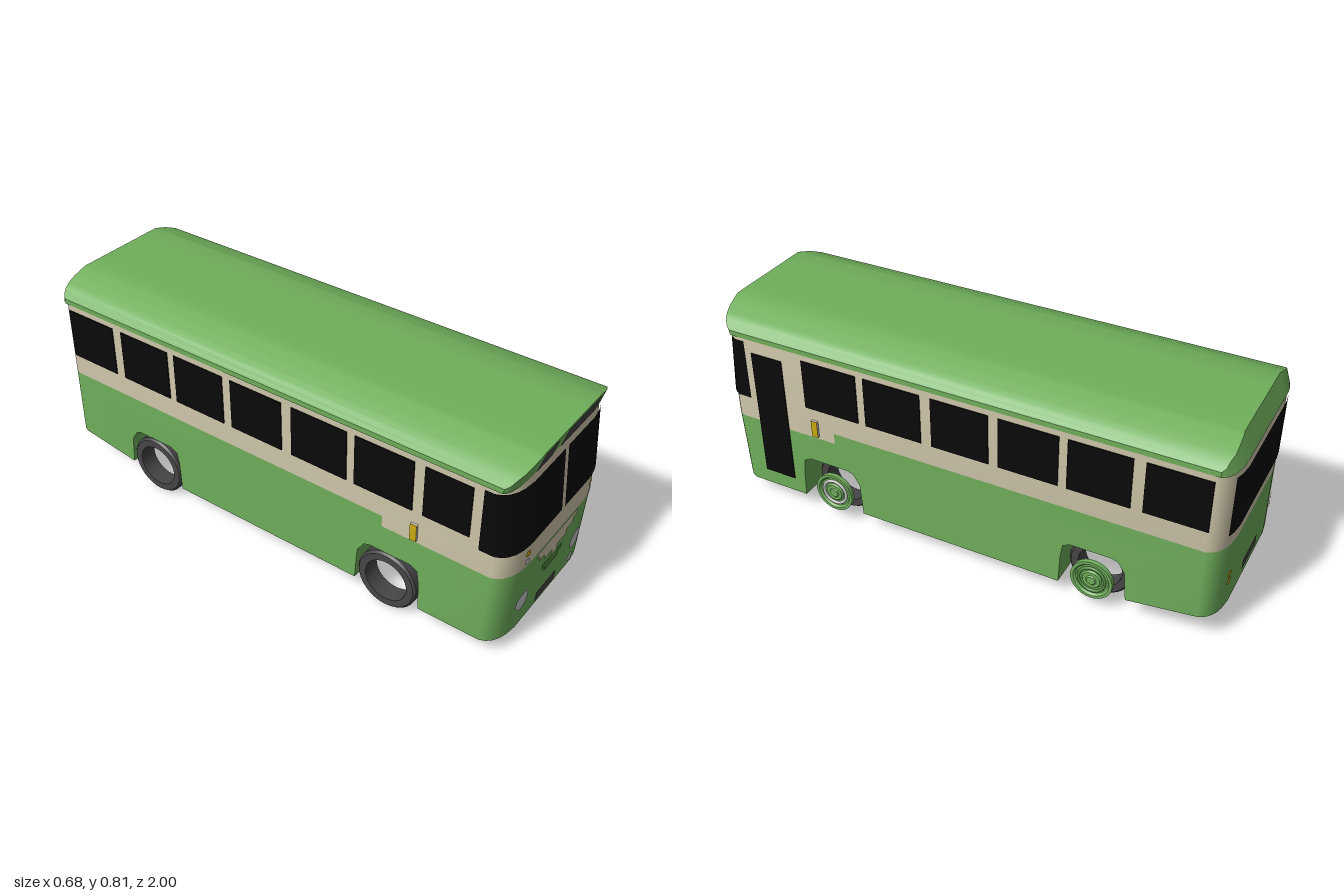
import * as THREE from 'three';
import { toCreasedNormals } from 'three/addons/utils/BufferGeometryUtils.js';

const paint = (name, color) => Object.assign(new THREE.MeshStandardMaterial({ color }), { name });
const green = paint('bodyGreen', 0x6fae5b);
const darkGreen = paint('darkGreen', 0x50873f);
const cream = paint('cream', 0xcfc6aa);
const black = paint('glassBlack', 0x090909);
const grey = paint('rubberGrey', 0x474547);
const silver = paint('silver', 0xc8c8c8);
const yellow = paint('lampYellow', 0xc8aa10);

const HALF = [0, 0.1, 0.19, 0.205, 0.25, 0.28, 0.305, 0.32, 0.33];
const XS = [...HALF.slice(1).map((x) => -x).reverse(), ...HALF];

// linear interpolation in a list of [x, value], mirrored in x
function lerpTable(table, x) {
  const a = Math.abs(x);
  for (let i = 1; i < table.length; i++) {
    const [x0, v0] = table[i - 1], [x1, v1] = table[i];
    if (a <= x1) return v0 + (v1 - v0) * Math.max(0, (a - x0) / (x1 - x0));
  }
  return table[table.length - 1][1];
}
// rounding of the body ends, roof height and eave height across the width
const setback = (x) => lerpTable([[0.205, 0], [0.25, 0.006], [0.28, 0.015], [0.305, 0.03], [0.32, 0.046], [0.33, 0.068]], x);
const roofTop = (x) => lerpTable([[0.19, 0.81], [0.25, 0.79], [0.305, 0.765], [0.33, 0.735]], x);
const eave = (x) => lerpTable([[0.19, 0.73], [0.305, 0.716], [0.33, 0.715]], x);

const frontZ = (x, y) => lerpTable([[0.067, 0.98], [0.36, 0.995], [0.457, 0.995], [0.735, 0.973]], y) - setback(x);
const backZ = (x) => -0.995 + setback(x);
const visorZ = (x, y) => 0.995 - (0.81 - y) * 0.28 - setback(x) * 0.5;

function mapPoints(geo, rule) {
  const p = geo.attributes.position;
  for (let i = 0; i < p.count; i++) p.setXYZ(i, ...rule(p.getX(i), p.getY(i), p.getZ(i)));
  geo.computeVertexNormals();
  return geo;
}

export function createModel() {
  const bus = new THREE.Group();
  bus.name = 'bus';
  const add = (name, geo, mat, parent = bus) => {
    const m = new THREE.Mesh(geo, mat);
    m.name = name;
    parent.add(m);
    return m;
  };
  const toShape = (pts) => new THREE.Shape(pts.map(([a, b]) => new THREE.Vector2(a, b)));

  // side profile of [z, y] points swept across the width, then bent by a rule
  function slab(name, profile, mat, rule) {
    const n = XS.length - 1;
    const geo = new THREE.ExtrudeGeometry(toShape(profile.map(([z, y]) => [-z, y])), { depth: n, steps: n, bevelEnabled: false });
    geo.rotateY(Math.PI / 2);
    mapPoints(geo, (i, y, z) => rule(XS[Math.round(i)], y, z));
    add(name, toCreasedNormals(geo, 0.5), mat);
  }
  const roundEnds = (x, y, z) => [x, y, Math.abs(z) > 0.9 ? z - Math.sign(z) * setback(x) : z];

  // lower body with wheel tunnels
  const arch = (z0, z1) => [[z0 + 0.008, 0.2], [z0 + 0.035, 0.242], [z0 + 0.06, 0.25], [z1 - 0.04, 0.25], [z1 - 0.012, 0.235], [z1 - 0.004, 0.18]];
  slab('lowerBody', [
    [0.98, 0.067], [0.995, 0.36], [0.51, 0.36], [0.51, 0.405], [-0.995, 0.405], [-0.995, 0.12],
    [-0.67, 0.085], ...arch(-0.67, -0.415), [-0.415, 0.067],
    [0.405, 0.067], ...arch(0.405, 0.67), [0.67, 0.067],
  ], green, roundEnds);

  // upper body
  slab('upperBody', [
    [0.995, 0.36], [0.995, 0.457], [0.973, 0.735], [-0.995, 0.735], [-0.995, 0.405], [0.51, 0.405], [0.51, 0.36],
  ], cream, roundEnds);

  // roof with forward-leaning visor
  slab('roof', [[1, 0], [1, 1], [-1, 1], [-1, 0]], green, (x, t, z) => {
    const y = t > 0.5 ? roofTop(x) : eave(x);
    const back = -1 + Math.max(0, y - 0.735) * 0.45 + setback(x) * 0.8;
    return [x * 1.009, y, z > 0 ? visorZ(x, y) + 0.001 : back];
  });

  // thin plates that follow the ends
  const onFront = (name, geo, mat, surf = frontZ) =>
    add(name, mapPoints(geo, (x, y) => [x, y, surf(x, y) + 0.004]), mat);
  const onBack = (name, geo, mat) =>
    add(name, mapPoints(geo.rotateY(Math.PI), (x, y) => [x, y, backZ(x) - 0.004]), mat);
  const rect = (x0, x1, y0, y1) => new THREE.PlaneGeometry(x1 - x0, y1 - y0).translate((x0 + x1) / 2, (y0 + y1) / 2, 0);
  const disc = (x, y, r) => new THREE.CircleGeometry(r, 24).translate(x, y, 0);

  // curved glass along a plan list of x values, with an optional run down the side
  function glass(name, xs, y0, y1, surf, out, sideEnd) {
    const list = sideEnd ? [...xs, null] : xs;
    const geo = new THREE.PlaneGeometry(list.length - 1, 1, list.length - 1, 1).translate((list.length - 1) / 2, 0.5, 0);
    mapPoints(geo, (i, v) => {
      const x = list[Math.round(i)], y = y0 + v * (y1 - y0);
      return x === null ? [0.334, y, sideEnd] : [x * 1.012, y, surf(x, y) + out];
    });
    return add(name, geo, black);
  }
  glass('windshieldLeft', [0.022, ...HALF.slice(1)], 0.457, 0.704, frontZ, 0.005, 0.877);
  const right = glass('windshieldRight', HALF, 0.457, 0.704, frontZ, 0.005, 0.877);
  // mirror the vertices and reverse the winding
  mapPoints(right.geometry.setIndex([...right.geometry.index.array].reverse()), (x, y, z) => [-x, y, z]);
  glass('rearWindow', XS.filter((x) => Math.abs(x) < 0.29).reverse(), 0.458, 0.695, backZ, -0.005);

  // stepped cream chevron and grille
  onFront('chevron', new THREE.ShapeGeometry(toShape([
    [-0.142, 0.362], [-0.142, 0.336], [-0.121, 0.336], [-0.121, 0.313], [-0.08, 0.313], [-0.08, 0.289],
    [-0.018, 0.289], [-0.018, 0.265], [0.022, 0.265], [0.022, 0.289], [0.082, 0.289], [0.082, 0.313],
    [0.125, 0.313], [0.125, 0.336], [0.147, 0.336], [0.147, 0.362],
  ])), cream);
  onFront('grilleTop', rect(-0.08, 0.063, 0.242, 0.265), darkGreen);
  onFront('grilleBottom', rect(-0.059, 0.044, 0.218, 0.242), darkGreen);
  onFront('frontPlate', rect(-0.08, 0.063, 0.088, 0.131), grey);

  // destination boards on the visor
  for (const pts of [
    [[-0.205, 0.734], [-0.1, 0.734], [-0.1, 0.808], [-0.188, 0.808]],
    [[-0.04, 0.734], [0.205, 0.734], [0.19, 0.808], [-0.04, 0.808]],
  ]) onFront('destinationBoard', new THREE.ShapeGeometry(toShape(pts)), grey, visorZ);

  // front lamps
  onFront('headlightRight', disc(-0.197, 0.19, 0.039), silver);
  onFront('headlightLeft', disc(0.189, 0.19, 0.039), silver);
  onFront('fogLamp', disc(0.178, 0.108, 0.021), silver);
  for (const x of [-0.217, 0.232]) {
    onFront('turnSignal', disc(x, 0.421, 0.0135), yellow);
    onFront('positionLamp', disc(x, 0.386, 0.0135), silver);
  }

  // rear lamps and plate
  for (const x of [-0.235, 0.235]) for (const y of [0.235, 0.268]) onBack('rearLamp', disc(x, y, 0.015), yellow);
  onBack('rearPlate', rect(-0.08, 0.08, 0.162, 0.205), grey);

  // side windows, door and side markers
  const sidePanel = (name, s, z0, z1, y0, y1, mat, x = 0.331, t = 0.006) =>
    add(name, new THREE.BoxGeometry(t, y1 - y0, z1 - z0).translate(s * x, (y0 + y1) / 2, (z0 + z1) / 2), mat);
  const windows = [[-0.93, -0.705], [-0.662, -0.432], [-0.4, -0.174], [-0.137, 0.088], [0.131, 0.362], [0.394, 0.625]];
  for (const s of [1, -1]) {
    for (const [z0, z1] of windows) sidePanel('sideWindow', s, z0, z1, 0.49, 0.69, black);
    const z = s > 0 ? 0.577 : 0.625;
    sidePanel('sideMarkerBase', s, z, z + 0.026, 0.371, 0.44, silver, 0.333, 0.01);
    sidePanel('sideMarkerLens', s, z, z + 0.026, 0.371, 0.44, yellow, 0.339, 0.002);
  }
  sidePanel('sideWindow', -1, 0.665, 0.84, 0.49, 0.69, black);
  sidePanel('door', 1, 0.716, 0.85, 0.13, 0.66, black);

  // wheels: open tyres with separate hubs
  const lathe = (pts, seg) => toCreasedNormals(new THREE.LatheGeometry(pts.map(([r, h]) => new THREE.Vector2(r, h)), seg), 0.5);
  const tyreGeo = lathe([[0.085, -0.035], [0.112, -0.035], [0.12, -0.026], [0.12, 0.026], [0.112, 0.035], [0.085, 0.035], [0.085, -0.035]], 32);
  const hubGeo = lathe([[0, -0.009], [0.08, -0.009], [0.08, 0.009], [0.069, 0.009], [0.062, 0.001], [0.038, 0.001],
    [0.033, 0.008], [0.02, 0.008], [0.016, 0.012], [0, 0.012]], 32);
  const ringGeo = new THREE.TorusGeometry(0.05, 0.006, 8, 32).rotateX(Math.PI / 2);
  for (const z of [0.535, -0.54]) for (const s of [1, -1]) {
    const wheel = new THREE.Group();
    wheel.name = (z > 0 ? 'front' : 'rear') + (s > 0 ? 'Left' : 'Right') + 'Wheel';
    wheel.position.set(0, 0.121, z);
    const tyre = add('tyre', tyreGeo, grey, wheel);
    const hub = add('hub', hubGeo, green, wheel);
    add('hubRing', ringGeo, z > 0 && s > 0 ? silver : darkGreen, hub).position.y = 0.003;
    tyre.position.x = s > 0 ? 0.215 : -0.294;
    hub.position.x = s > 0 ? 0.321 : -0.188;
    tyre.rotation.z = hub.rotation.z = -s * Math.PI / 2;
    bus.add(wheel);
  }
  return bus;
}
